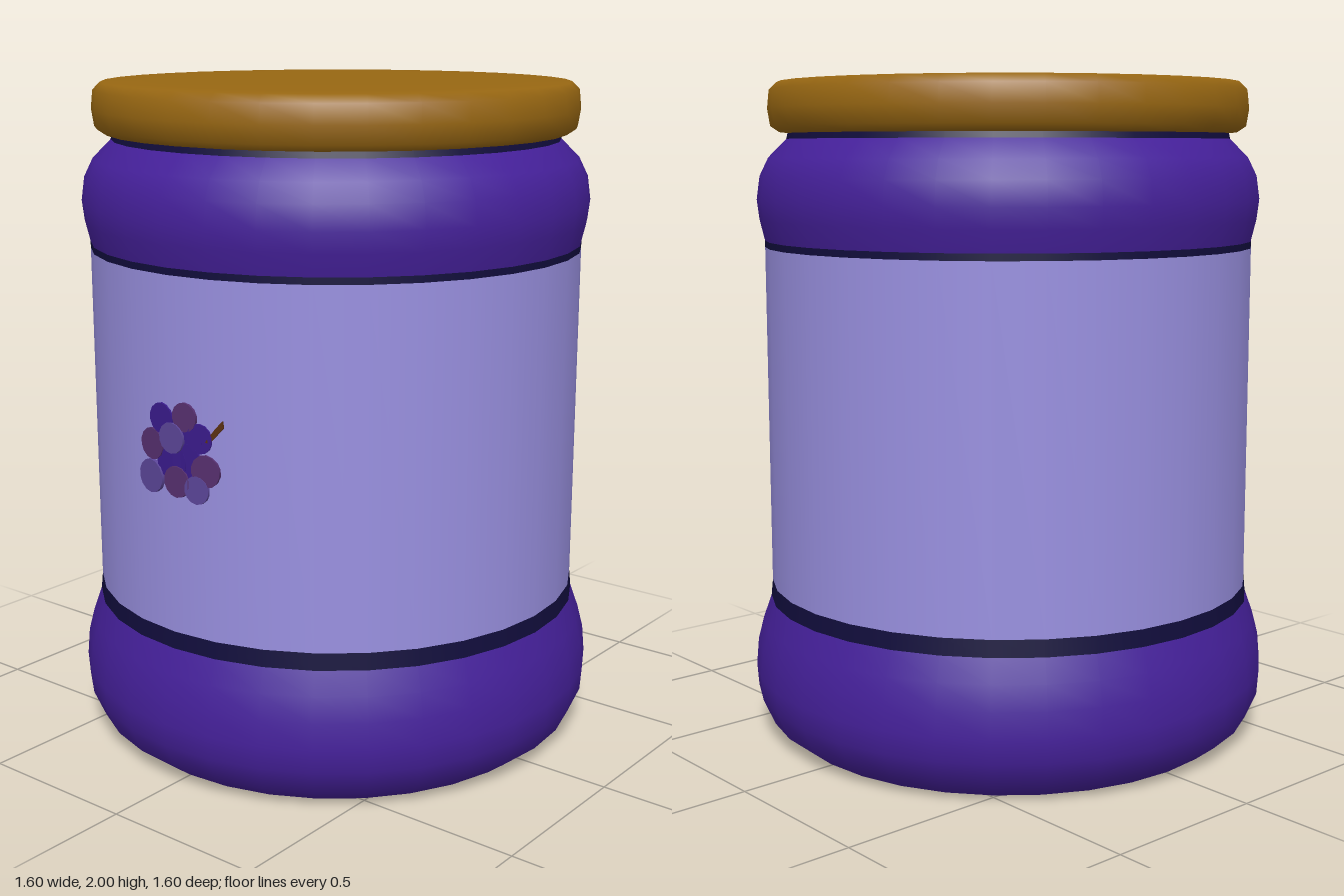
import * as THREE from 'three';

const SIDES = 32;
const LABEL_R = 0.745;

export function createModel() {
  const root = new THREE.Group();
  root.name = 'jar';
  const mat = (color) => new THREE.MeshStandardMaterial({ color });
  const purple = mat(0x45209a);
  const dark = mat(0x110d3c);
  const lilac = mat(0x9990e0);
  const gold = mat(0x986712);

  // A turned part from [radius, height] points, listed bottom to top
  const turned = (name, material, points) => {
    const profile = points.map(([r, y]) => new THREE.Vector2(r, y));
    const mesh = new THREE.Mesh(new THREE.LatheGeometry(profile, SIDES), material);
    mesh.name = name;
    root.add(mesh);
  };

  turned('base', purple, [[0, 0], [0.55, 0], [0.7, 0.003], [0.76, 0.05], [0.795, 0.13],
    [0.8, 0.2], [0.793, 0.28], [0.775, 0.35], [0.75, 0.42]]);
  turned('lowerBand', dark, [[0.75, 0.42], [LABEL_R, 0.47]]);
  turned('label', lilac, [[LABEL_R, 0.47], [LABEL_R, 1.507]]);
  turned('upperBand', dark, [[LABEL_R, 1.507], [LABEL_R, 1.527]]);
  turned('shoulder', purple, [[LABEL_R, 1.527], [0.76, 1.59], [0.767, 1.65], [0.757, 1.72],
    [0.73, 1.775], [0.675, 1.83]]);
  turned('neckBand', dark, [[0.675, 1.83], [0.67, 1.85]]);
  turned('lid', gold, [[0.66, 1.846], [0.695, 1.85], [0.722, 1.868], [0.73, 1.92],
    [0.724, 1.975], [0.7, 1.998], [0.57, 2], [0, 2]]);

  // Grape emblem wrapped round the front of the label
  const emblem = new THREE.Group();
  emblem.name = 'grapeEmblem';
  root.add(emblem);
  const onLabel = (mesh, x, y, lift) => {
    const angle = Math.asin(x / LABEL_R);
    const r = LABEL_R + lift;
    mesh.position.set(r * Math.sin(angle), y, r * Math.cos(angle));
    mesh.rotation.y = angle;
    emblem.add(mesh);
  };

  const skins = [mat(0x3a1b8c), mat(0x573070), mat(0x5c4699)];
  const grape = new THREE.CylinderGeometry(1, 1, 1, 14).rotateX(Math.PI / 2);
  // [x, y, radius, skin], back to front
  const grapes = [
    [0.06, 1.06, 0.055, 0], [0.005, 0.98, 0.055, 0], [0.06, 0.99, 0.05, 0],
    [0.105, 1.06, 0.043, 0], [0.055, 1.115, 0.042, 1], [-0.03, 1.1, 0.045, 0],
    [-0.07, 1.02, 0.046, 1], [0.125, 0.97, 0.047, 1], [0.025, 0.925, 0.046, 1],
    [0.095, 0.912, 0.041, 2], [-0.075, 0.925, 0.049, 2], [0.01, 1.05, 0.045, 2],
  ];
  grapes.forEach(([x, y, r, skin], i) => {
    const mesh = new THREE.Mesh(grape, skins[skin]);
    mesh.name = 'grape';
    mesh.scale.set(r, r, 0.016);
    onLabel(mesh, x, y, -0.007 + i * 0.0006);
  });

  // Stem with a wider tip
  const outline = new THREE.Shape([[-0.03, -0.035], [-0.018, -0.04], [0.028, 0.01],
    [0.026, 0.03], [0.004, 0.008]].map(([x, y]) => new THREE.Vector2(x, y)));
  const stem = new THREE.Mesh(
    new THREE.ExtrudeGeometry(outline, { depth: 0.012, bevelEnabled: false }), mat(0x5a3012));
  stem.name = 'stem';
  onLabel(stem, 0.155, 1.09, -0.009);

  return root;
}
